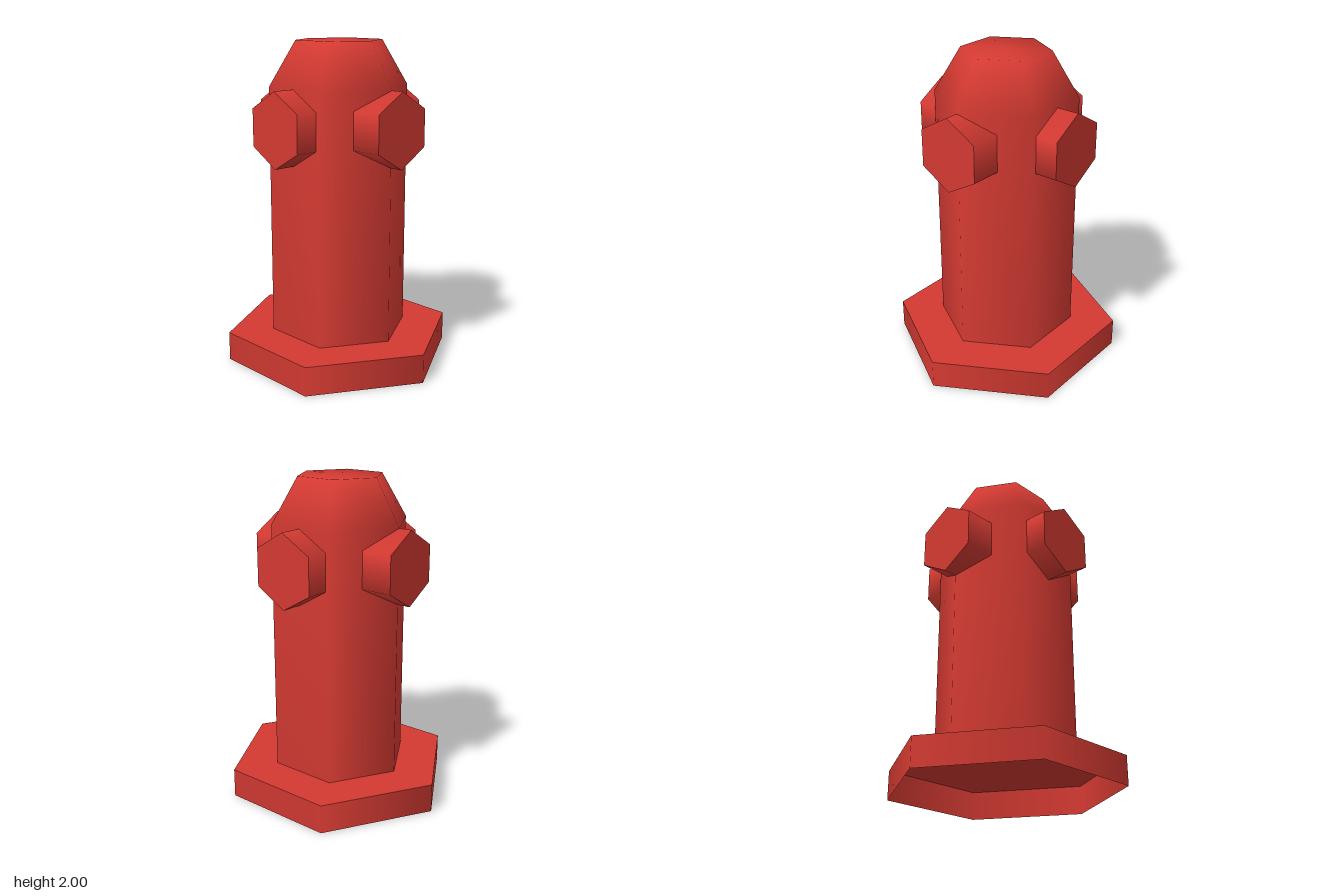
import * as THREE from 'three';

const SIDES = 6;

export function createModel() {
  const model = new THREE.Group();
  const red = new THREE.MeshStandardMaterial({ color: 0xd43a32, side: THREE.DoubleSide });
  red.name = 'hydrantRed';

  const add = (name, geometry, y) => {
    const mesh = new THREE.Mesh(geometry, red);
    mesh.name = name;
    mesh.position.y = y;
    model.add(mesh);
    return mesh;
  };

  // Base flange: hexagonal skirt, open underneath, closed by a plate on top
  add('baseSkirt', new THREE.CylinderGeometry(0.72, 0.72, 0.18, SIDES, 1, true), 0.09);
  add('basePlate', new THREE.CircleGeometry(0.72, SIDES).rotateZ(Math.PI / 2).rotateX(-Math.PI / 2), 0.18);

  // Barrel and domed cap in one smooth hexagonal sweep
  const profile = [[0.435, 0.18], [0.435, 1.725], [0.27, 2], [0, 2]]
    .map(([r, y]) => new THREE.Vector2(r, y));
  add('barrel', new THREE.LatheGeometry(profile, SIDES), 0);

  // Hexagonal outlets running right through the barrel, corners up and down
  for (const [name, turn] of [['frontBackOutlets', 0], ['sideOutlets', Math.PI / 2]]) {
    const bar = new THREE.CylinderGeometry(0.2275, 0.2275, 1.04, SIDES).rotateX(Math.PI / 2);
    add(name, bar, 1.4975).rotation.y = turn;
  }

  return model;
}
